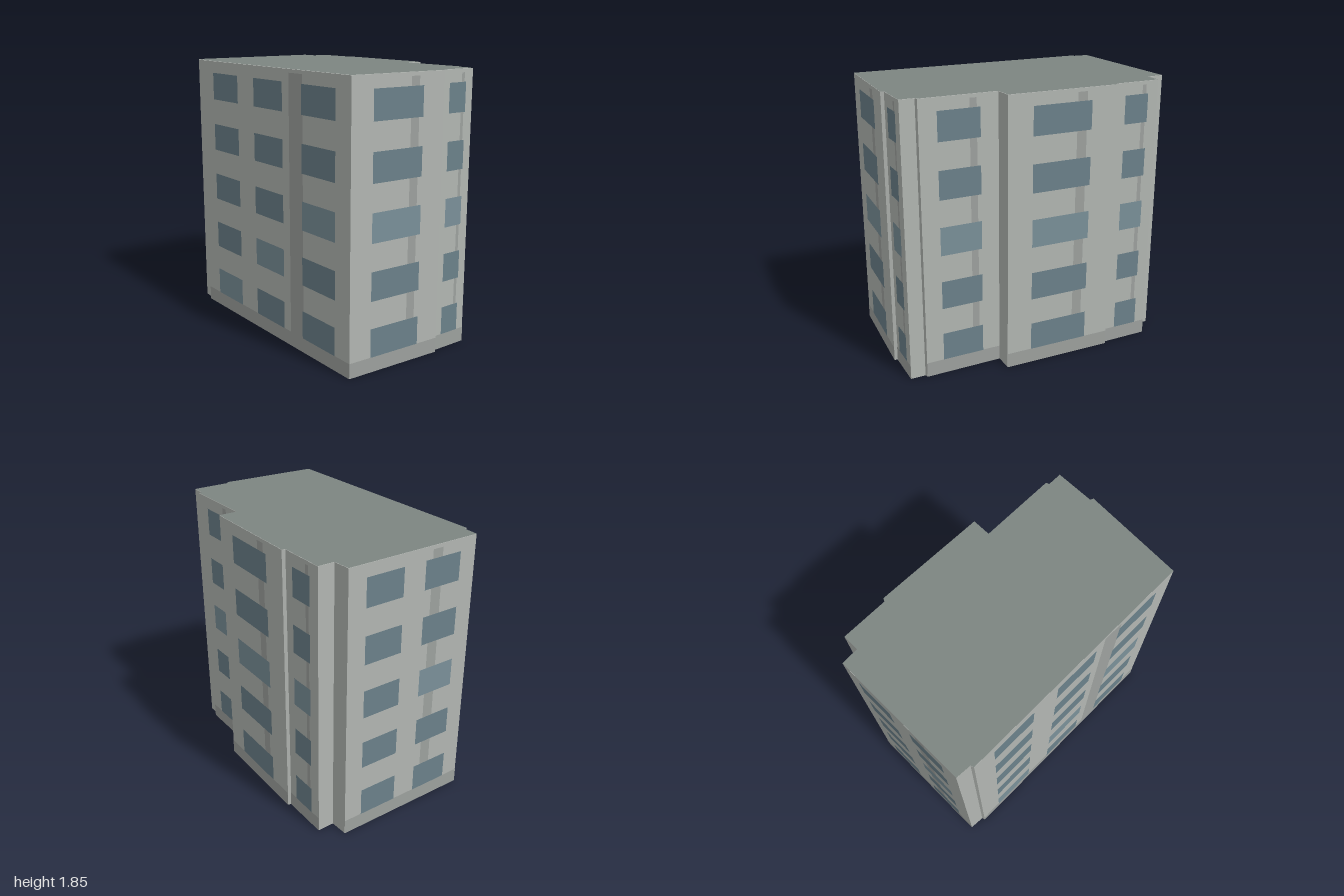
import * as THREE from 'three';

const H = 1.85;
const FLOORS = 5, FLOOR_STEP = 0.369, SILL = 0.1, WINDOW_H = 0.19;

// Footprint corners as [x, z], running left, front, right, back
const FOOTPRINT = [
  [-0.99, -0.32], [-0.92, -0.24], [-0.93, -0.22], [0.29, 1.0], [0.81, 0.53], [0.8, 0.51],
  [0.99, 0.32], [0.92, 0.25], [0.93, 0.23], [0.56, -0.14], [0.65, -0.23], [0.12, -0.78],
  [0.1, -0.77], [-0.13, -1.0], [-0.21, -0.92], [-0.3, -1.0],
];

// Facades: starting corner, window and downpipe spans as fractions of the wall,
// and the paler windows as [floor, column]
const single = (corner) => ({ corner, windows: [[0.225, 0.765]], strip: [0.63, 0.72], pale: [[2, 0]] });
const FACADES = [
  { corner: 2, windows: [[0.09, 0.283], [0.402, 0.598], [0.72, 0.918]], strip: [0.64, 0.725], pale: [[0, 0], [1, 1], [2, 2]] },
  single(3), single(5), single(8), single(10), single(12),
  { corner: 15, windows: [[0.13, 0.415], [0.585, 0.87]], strip: [0.64, 0.72], pale: [[2, 1]] },
];

const paint = (color) => new THREE.MeshStandardMaterial({ color });

export function createModel() {
  const building = new THREE.Group();
  building.name = 'apartmentBlock';
  const wallMat = paint(0xb2b6b2), roofMat = paint(0x7d8581), trimMat = paint(0x9da19e);
  const glassMat = paint(0x6b818a), paleMat = paint(0x7a9099);

  // Walls and underside, extruded from the footprint
  const shape = new THREE.Shape(FOOTPRINT.map(([x, z]) => new THREE.Vector2(x, -z)));
  const wallGeo = new THREE.ExtrudeGeometry(shape, { depth: H - 0.002, bevelEnabled: false });
  const walls = new THREE.Mesh(wallGeo.rotateX(-Math.PI / 2), wallMat);
  walls.name = 'walls';
  building.add(walls);

  // Flat roof
  const roof = new THREE.Mesh(new THREE.ShapeGeometry(shape).rotateX(-Math.PI / 2), roofMat);
  roof.name = 'roof';
  roof.position.y = H;
  building.add(roof);

  for (const { corner, windows, strip, pale } of FACADES) {
    const [x0, z0] = FOOTPRINT[corner];
    const [x1, z1] = FOOTPRINT[(corner + 1) % FOOTPRINT.length];
    const length = Math.hypot(x1 - x0, z1 - z0);

    // Facade group: local x runs along the wall, local z points outward
    const facade = new THREE.Group();
    facade.name = 'facade';
    facade.position.set(x0, 0, z0);
    facade.rotation.y = Math.atan2(z0 - z1, x1 - x0);
    building.add(facade);

    const panel = (name, [from, to], y0, y1, offset, material) => {
      const mesh = new THREE.Mesh(new THREE.PlaneGeometry((to - from) * length, y1 - y0), material);
      mesh.name = name;
      mesh.position.set((from + to) / 2 * length, (y0 + y1) / 2, offset);
      facade.add(mesh);
    };

    // Plinth band and vertical strip
    panel('plinth', [0, 1], 0, SILL, 0.002, trimMat);
    panel('verticalStrip', strip, SILL, 1.825, 0.002, trimMat);

    // Windows on every floor
    for (let floor = 0; floor < FLOORS; floor++) {
      const y = SILL + floor * FLOOR_STEP;
      windows.forEach((span, column) => {
        const isPale = pale.some(([f, c]) => f === floor && c === column);
        panel('window', span, y, y + WINDOW_H, 0.004, isPale ? paleMat : glassMat);
      });
    }
  }
  return building;
}
